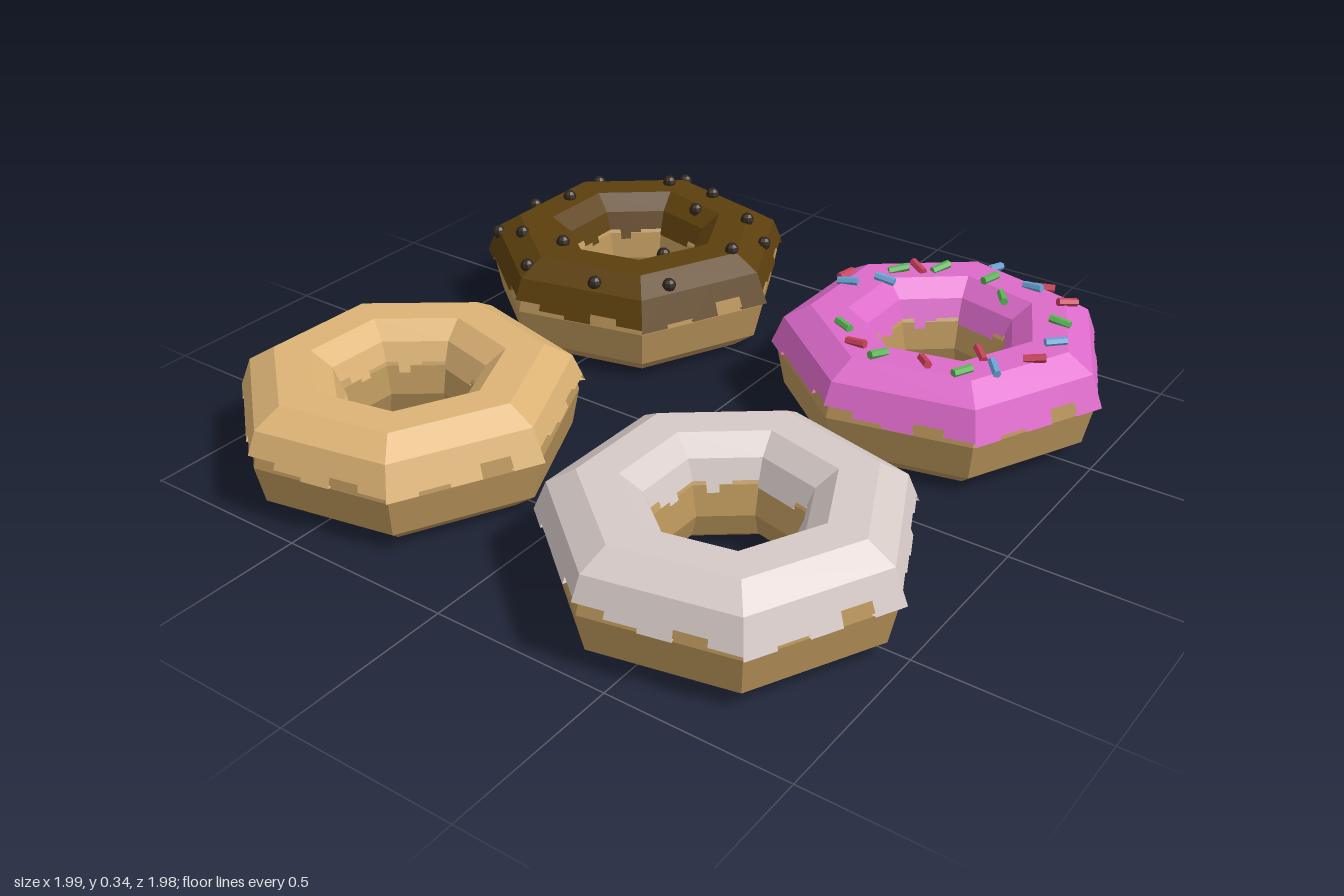
import * as THREE from 'three';

const SIDES = 7;
const COLUMNS = 5; // hem steps per side

// Cross-sections as [radius, height]
const DOUGH = [[0.37, 0], [0.44, 0.053], [0.462, 0.16], [0.437, 0.25], [0.37, 0.295],
  [0.27, 0.295], [0.22, 0.25], [0.188, 0.2], [0.168, 0.12], [0.19, 0.053], [0.27, 0], [0.37, 0]];
const ICING = [[0.447, 0.265], [0.372, 0.31], [0.267, 0.31], [0.21, 0.265]];
const OUTER_END = [0.478, 0.19];
const INNER_END = [0.183, 0.2];

const material = (color, side = THREE.FrontSide) =>
  new THREE.MeshStandardMaterial({ color, flatShading: true, side });

function seeded(seed) {
  return () => (seed = (seed * 16807) % 2147483647) / 2147483647;
}

function addMesh(parent, name, geometry, mat) {
  const mesh = new THREE.Mesh(geometry, mat);
  mesh.name = name;
  parent.add(mesh);
  return mesh;
}

// Seven-sided ring with a corner on +x
function ring(profile) {
  const points = profile.map(([r, y]) => new THREE.Vector2(r, y));
  return new THREE.LatheGeometry(points, SIDES, Math.PI / 2);
}

// Point on side k of the heptagon, t from 0 to 1 along it
function sidePoint(k, t, r, y) {
  const a = (k / SIDES) * Math.PI * 2, b = ((k + 1) / SIDES) * Math.PI * 2;
  const x = THREE.MathUtils.lerp(Math.cos(a), Math.cos(b), t);
  const z = THREE.MathUtils.lerp(Math.sin(a), Math.sin(b), t);
  return [x * r, y, z * r];
}

// Stepped skirt hanging from one edge of the icing
function hem(start, end, outward, seed) {
  const random = seeded(seed);
  const positions = [];
  const quad = (a, b, c, d) => {
    const order = outward ? [a, b, c, a, c, d] : [a, c, b, a, d, c];
    for (const p of order) positions.push(...p);
  };
  const slope = (end[0] - start[0]) / (end[1] - start[1]);
  for (let k = 0; k < SIDES; k++) {
    for (let i = 0; i < COLUMNS; i++) {
      const t0 = i / COLUMNS, t1 = (i + 1) / COLUMNS;
      const y = end[1] + [-0.016, -0.006, 0.004, 0.012, 0.022][Math.floor(random() * 5)];
      const r = start[0] + slope * (y - start[1]);
      const back = r + (outward ? -0.015 : 0.015);
      const low0 = sidePoint(k, t0, r, y), low1 = sidePoint(k, t1, r, y);
      quad(sidePoint(k, t0, ...start), sidePoint(k, t1, ...start), low1, low0);
      quad(low0, low1, sidePoint(k, t1, back, y), sidePoint(k, t0, back, y));
    }
  }
  const geometry = new THREE.BufferGeometry();
  geometry.setAttribute('position', new THREE.Float32BufferAttribute(positions, 3));
  geometry.computeVertexNormals();
  return geometry;
}

// Height of the icing above a point relative to the ring centre
function icingHeight(x, z) {
  let r = 0;
  for (let k = 0; k < SIDES; k++) {
    const a = ((k + 0.5) / SIDES) * Math.PI * 2;
    r = Math.max(r, (x * Math.cos(a) + z * Math.sin(a)) / Math.cos(Math.PI / SIDES));
  }
  const line = [OUTER_END, ...ICING, INNER_END];
  for (let i = 0; i < line.length - 1; i++) {
    const [r0, y0] = line[i], [r1, y1] = line[i + 1];
    if (r <= r0 && r >= r1) return y0 + ((y1 - y0) * (r0 - r)) / (r0 - r1);
  }
  return r > 0.4 ? OUTER_END[1] : INNER_END[1];
}

function createDonut(name, color, x, z, turn) {
  const donut = new THREE.Group();
  donut.name = name;
  donut.position.set(x, 0, z);
  donut.rotation.y = turn;
  addMesh(donut, 'dough', ring(DOUGH), material(0xb8945a));
  const icing = material(color, THREE.DoubleSide);
  addMesh(donut, 'icing', ring(ICING), icing);
  addMesh(donut, 'outerIcingHem', hem(ICING[0], OUTER_END, true, 417), icing);
  addMesh(donut, 'innerIcingHem', hem(ICING[3], INNER_END, false, 938), icing);
  return donut;
}

// Chocolate balls: [x, z] from the ring centre
const BALLS = [[-0.10, -0.40], [-0.10, -0.31], [0.07, -0.31], [0.075, -0.21], [-0.32, -0.22],
  [-0.29, -0.03], [-0.375, 0.04], [0.27, -0.21], [0.36, -0.17], [0.355, 0], [0.19, 0.12],
  [0.305, 0.25], [0.12, 0.365], [-0.09, 0.25], [-0.25, 0.25], [-0.375, 0.22], [-0.11, 0.395]];

function addBalls(donut) {
  const geometry = new THREE.SphereGeometry(0.021, 8, 6);
  const mat = material(0x30261c);
  for (const [x, z] of BALLS) {
    addMesh(donut, 'chocolateBall', geometry, mat).position.set(x, icingHeight(x, z) + 0.006, z);
  }
}

// Sprinkles: [x, z, heading in degrees, colour index]
const SPRINKLES = [[-0.04, -0.40, 80, 2], [0.14, -0.35, 20, 0], [0.13, -0.29, -10, 2],
  [0.25, -0.26, 50, 0], [0.005, -0.27, 75, 1], [-0.145, -0.25, 65, 1], [-0.20, -0.215, -30, 0],
  [0.075, -0.21, -55, 1], [-0.24, -0.17, 45, 1], [-0.24, -0.09, 8, 2], [-0.375, -0.10, 80, 0],
  [-0.32, -0.015, 12, 2], [0.285, -0.135, 5, 1], [0.325, -0.02, 45, 2], [0.32, 0.10, 25, 0],
  [0.255, 0.205, -50, 2], [0.195, 0.27, 65, 1], [0.09, 0.28, -45, 0], [-0.03, 0.315, 70, 1],
  [-0.19, 0.225, -25, 1], [-0.11, 0.295, -5, 0], [0.19, 0.155, -45, 0]];

function addSprinkles(donut) {
  const geometry = new THREE.CylinderGeometry(0.012, 0.012, 0.06, 6).rotateZ(Math.PI / 2);
  const mats = [0xc8415a, 0x5cb457, 0x69a4d4].map((c) => material(c));
  SPRINKLES.forEach(([x, z, heading, tint], i) => {
    const sprinkle = addMesh(donut, 'sprinkle', geometry, mats[tint]);
    sprinkle.position.set(x, icingHeight(x, z) + 0.008, z);
    sprinkle.rotation.set(0, THREE.MathUtils.degToRad(heading), ((i % 3) - 1) * 0.15, 'YXZ');
  });
}

export function createModel() {
  const model = new THREE.Group();
  model.name = 'donuts';
  const chocolate = createDonut('chocolateDonut', 0x5c3f0d, -0.555, -0.532, 0);
  const pink = createDonut('pinkDonut', 0xdd6aca, 0.513, -0.532, 0);
  const caramel = createDonut('caramelDonut', 0xdcb375, -0.522, 0.528, -0.03);
  const vanilla = createDonut('vanillaDonut', 0xd6cac7, 0.516, 0.528, -0.015);
  addBalls(chocolate);
  addSprinkles(pink);
  model.add(chocolate, pink, caramel, vanilla);
  return model;
}
